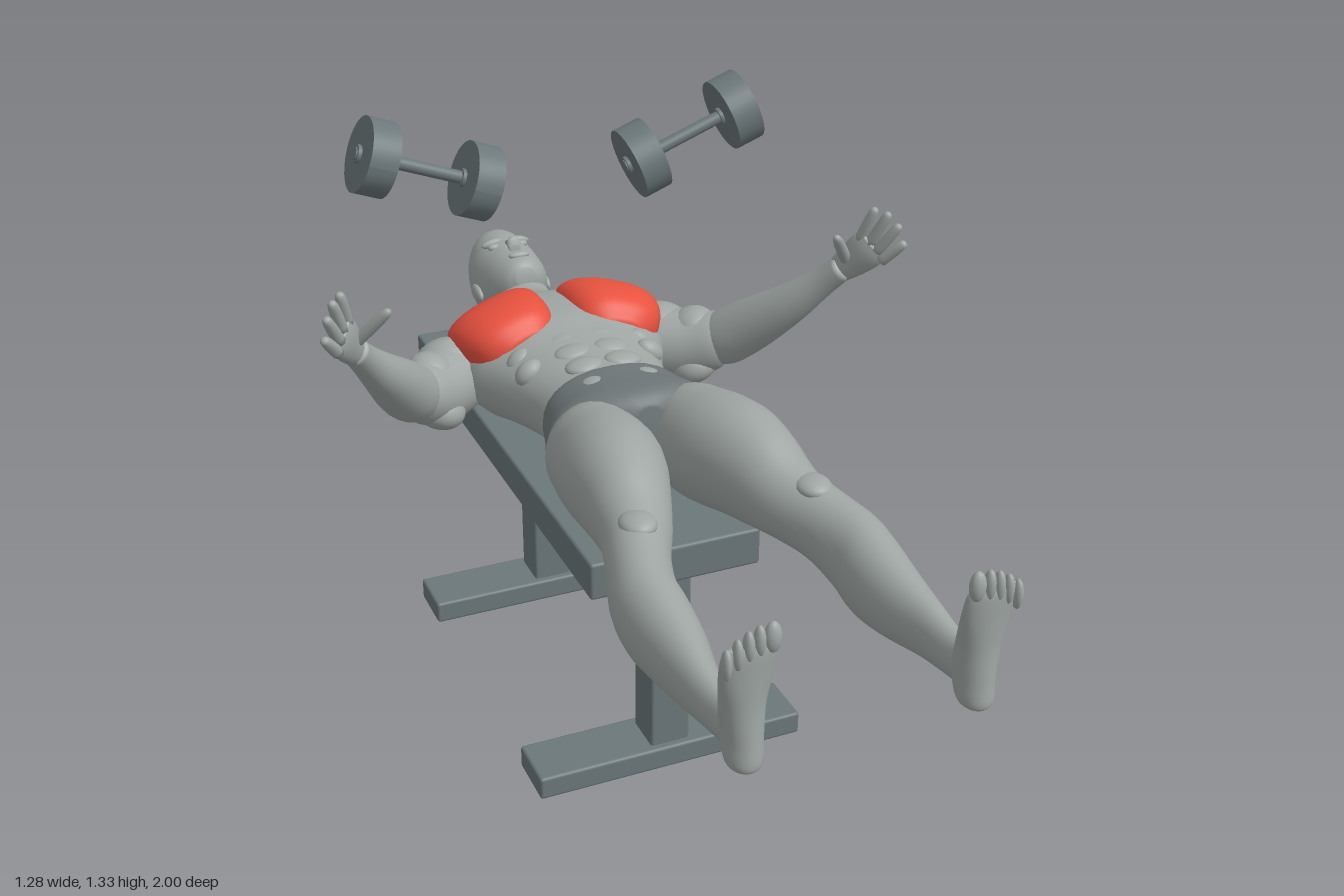
import * as THREE from 'three';
import { RoundedBoxGeometry } from 'three/addons/geometries/RoundedBoxGeometry.js';

const material = (name, color) => {
  const m = new THREE.MeshStandardMaterial({ color });
  m.name = name;
  return m;
};

// Smooth elliptical tube through rings [x, y, z, a, b]; n squares off the section
function loft(rings, up = [0, 1, 0], n = 2, seg = 28, sub = 5) {
  const centres = new THREE.CatmullRomCurve3(rings.map(r => new THREE.Vector3(r[0], r[1], r[2])), false, 'catmullrom', 0.5);
  const radii = new THREE.CatmullRomCurve3(rings.map(r => new THREE.Vector3(r[3], r[4] ?? r[3], 0)), false, 'catmullrom', 0.5);
  const W = centres.getPoint(1).sub(centres.getPoint(0)).normalize();
  const U = new THREE.Vector3(...up).cross(W).normalize();
  const V = W.clone().cross(U);
  const pos = [], idx = [], steps = (rings.length - 1) * sub;
  const bend = v => Math.sign(v) * Math.abs(v) ** (2 / n);
  for (let i = 0; i <= steps; i++) {
    const c = centres.getPoint(i / steps), r = radii.getPoint(i / steps);
    for (let j = 0; j < seg; j++) {
      const t = j / seg * Math.PI * 2;
      const p = c.clone().addScaledVector(U, r.x * bend(Math.cos(t))).addScaledVector(V, r.y * bend(Math.sin(t)));
      pos.push(p.x, p.y, p.z);
    }
  }
  for (let i = 0; i < steps; i++) for (let j = 0; j < seg; j++) {
    const a = i * seg + j, b = i * seg + (j + 1) % seg;
    idx.push(a, b, b + seg, a, b + seg, a + seg);
  }
  const first = pos.length / 3, last = steps * seg;
  for (const t of [0, 1]) pos.push(...centres.getPoint(t).toArray());
  for (let j = 0; j < seg; j++) {
    const k = (j + 1) % seg;
    idx.push(first, k, j, first + 1, last + j, last + k);
  }
  const g = new THREE.BufferGeometry();
  g.setAttribute('position', new THREE.Float32BufferAttribute(pos, 3));
  g.setIndex(idx);
  g.computeVertexNormals();
  return g;
}

// Sections along z: [z, centre x, bottom y, top y, half width]
const zLoft = (s, n) => loft(s.map(([z, x, y0, y1, w]) => [x, (y0 + y1) / 2, z, w, (y1 - y0) / 2]), [0, 1, 0], n);

const blob = (x, y, z, rx, ry, rz, turn = 0) =>
  new THREE.SphereGeometry(1, 20, 14).scale(rx, ry, rz).rotateZ(turn).translate(x, y, z);

function mirrored(g) {
  const m = g.clone().scale(-1, 1, 1), i = m.index.array;
  for (let k = 0; k < i.length; k += 3) [i[k], i[k + 1]] = [i[k + 1], i[k]];
  m.computeVertexNormals();
  return m;
}

export function createModel() {
  const model = new THREE.Group();
  const skin = material('grey skin', 0x9fa6a3);
  const steel = material('slate bench and weights', 0x6b777a);
  const cloth = material('dark grey shorts', 0x70787a);
  const red = material('highlighted red', 0xe9523f);

  const add = (name, g, m) => {
    const mesh = new THREE.Mesh(g, m);
    mesh.name = name;
    model.add(mesh);
  };
  const both = (name, g, m) => {
    add('left ' + name, g, m);
    add('right ' + name, mirrored(g), m);
  };
  const box = (name, w, h, d, x, y, z) => add(name, new RoundedBoxGeometry(w, h, d, 2, 0.007).translate(x, y, z), steel);

  // Bench
  box('bench top', 0.38, 0.085, 1.2, 0, 0.522, -0.4);
  for (const z of [0.128, -0.605]) {
    box('bench leg', 0.09, 0.45, 0.096, 0, 0.265, z);
    box('bench foot', 0.615, 0.054, 0.13, 0, 0.027, z);
  }

  // Dumbbells, tilted outward and upward
  const rod = (r, len, at) => new THREE.CylinderGeometry(r, r, len, 36)
    .translate(0, at, 0).rotateZ(-Math.PI / 2).rotateZ(0.357).translate(0.301, 1.202, -0.44);
  both('dumbbell bar', rod(0.014, 0.32, 0), steel);
  for (const at of [-0.118, 0.118]) {
    both('dumbbell weight', rod(0.081, 0.062, at), steel);
    both('dumbbell collar', rod(0.02, 0.078, at), steel);
  }

  // Head, face and neck
  add('head', zLoft([
    [-0.947, 0, 0.73, 0.785, 0.025], [-0.93, 0, 0.678, 0.83, 0.06], [-0.89, 0, 0.638, 0.852, 0.08],
    [-0.84, 0, 0.631, 0.858, 0.087], [-0.79, 0, 0.65, 0.855, 0.083], [-0.74, 0, 0.7, 0.852, 0.07],
    [-0.705, 0, 0.75, 0.847, 0.048], [-0.69, 0, 0.79, 0.832, 0.024]]), skin);
  add('nose', loft([[0, 0.845, -0.83, 0.007], [0, 0.86, -0.79, 0.011], [0, 0.865, -0.773, 0.017], [0, 0.852, -0.763, 0.012]]), skin);
  add('lips', blob(0, 0.849, -0.738, 0.026, 0.009, 0.011), skin);
  both('eye', blob(0.034, 0.842, -0.82, 0.016, 0.009, 0.009), skin);
  both('brow', blob(0.034, 0.846, -0.838, 0.027, 0.01, 0.009, -0.2), skin);
  both('ear', blob(0.086, 0.738, -0.805, 0.011, 0.02, 0.034), skin);
  add('neck', zLoft([[-0.8, 0, 0.66, 0.8, 0.06], [-0.72, 0, 0.665, 0.8, 0.066],
    [-0.66, 0, 0.65, 0.795, 0.075], [-0.6, 0, 0.62, 0.81, 0.1]]), skin);

  // Torso
  add('torso', zLoft([
    [-0.67, 0, 0.66, 0.775, 0.06], [-0.62, 0, 0.615, 0.8, 0.16], [-0.575, 0, 0.588, 0.82, 0.225],
    [-0.5, 0, 0.572, 0.832, 0.238], [-0.42, 0, 0.57, 0.832, 0.235], [-0.35, 0, 0.582, 0.822, 0.205],
    [-0.28, 0, 0.592, 0.815, 0.178], [-0.2, 0, 0.6, 0.81, 0.158], [-0.12, 0, 0.6, 0.812, 0.155]], 2.2), skin);
  both('chest muscle', loft([
    [0.135, 0.77, -0.572, 0.09, 0.03], [0.135, 0.778, -0.55, 0.116, 0.056], [0.133, 0.782, -0.5, 0.118, 0.072],
    [0.125, 0.782, -0.44, 0.108, 0.076], [0.115, 0.78, -0.395, 0.088, 0.065], [0.105, 0.775, -0.365, 0.05, 0.035]],
    [0.28, 0.96, 0], 2.5), red);
  for (const z of [-0.335, -0.27, -0.2])
    both('abdominal muscle', blob(0.045, 0.803, z, 0.042, 0.016, 0.033, -0.1), skin);
  both('lower abdominal', blob(0.062, 0.806, -0.095, 0.032, 0.016, 0.036, -0.2), skin);
  for (const z of [-0.34, -0.28])
    both('rib muscle', blob(0.142, 0.77, z, 0.035, 0.025, 0.026, -0.7), skin);

  // Shorts
  add('shorts', zLoft([
    [-0.143, 0, 0.605, 0.813, 0.156], [-0.14, 0, 0.597, 0.82, 0.163], [-0.08, 0, 0.588, 0.826, 0.178],
    [-0.01, 0, 0.59, 0.835, 0.197], [0.03, 0, 0.6, 0.835, 0.13], [0.06, 0, 0.63, 0.815, 0.04]], 2.3), cloth);

  // Legs
  both('leg', zLoft([
    [-0.07, 0.09, 0.63, 0.79, 0.07], [0.0, 0.108, 0.597, 0.825, 0.097], [0.06, 0.112, 0.597, 0.842, 0.106],
    [0.14, 0.122, 0.608, 0.86, 0.11], [0.22, 0.135, 0.625, 0.865, 0.102], [0.3, 0.148, 0.636, 0.848, 0.086],
    [0.38, 0.165, 0.645, 0.81, 0.071], [0.46, 0.195, 0.635, 0.79, 0.064], [0.54, 0.217, 0.605, 0.78, 0.065],
    [0.61, 0.219, 0.59, 0.768, 0.066], [0.7, 0.22, 0.6, 0.75, 0.056], [0.8, 0.225, 0.62, 0.733, 0.039],
    [0.88, 0.224, 0.635, 0.724, 0.031], [0.96, 0.222, 0.65, 0.735, 0.031]]), skin);
  both('kneecap', blob(0.182, 0.785, 0.425, 0.036, 0.02, 0.042), skin);

  // Feet, soles facing forward
  both('foot', loft([
    [0.22, 0.628, 0.965, 0.016, 0.018], [0.22, 0.642, 0.962, 0.032, 0.036], [0.22, 0.69, 0.952, 0.036, 0.043],
    [0.222, 0.75, 0.955, 0.04, 0.036], [0.223, 0.81, 0.967, 0.048, 0.025], [0.223, 0.86, 0.978, 0.05, 0.016],
    [0.221, 0.878, 0.983, 0.042, 0.008]], [0, 0, 1]), skin);
  for (let i = 0; i < 5; i++) {
    const r = i ? 0.0105 - i * 0.0004 : 0.015;
    both('toe', blob(0.187 + (i ? 0.004 : 0) + i * 0.019, 0.887 - i * i * 0.0021, 0.986, r, 0.029, 0.013), skin);
  }

  // Shoulders and arms
  both('shoulder', blob(0.258, 0.688, -0.495, 0.09, 0.09, 0.082), skin);
  both('upper arm', loft([
    [0.2, 0.69, -0.52, 0.075], [0.265, 0.685, -0.48, 0.085], [0.32, 0.69, -0.435, 0.08],
    [0.365, 0.71, -0.39, 0.066], [0.385, 0.725, -0.37, 0.04]]), skin);
  both('biceps', blob(0.318, 0.735, -0.435, 0.055, 0.045, 0.055, 0.4), skin);
  both('triceps', blob(0.31, 0.655, -0.41, 0.06, 0.045, 0.06, 0.4), skin);
  both('forearm', loft([
    [0.345, 0.68, -0.425, 0.035], [0.372, 0.712, -0.388, 0.063], [0.415, 0.765, -0.33, 0.062],
    [0.47, 0.84, -0.25, 0.047], [0.52, 0.908, -0.192, 0.033], [0.552, 0.955, -0.155, 0.029]]), skin);

  // Hands with spread fingers
  both('palm', loft([
    [0.54, 0.935, -0.17, 0.026, 0.022], [0.56, 0.97, -0.14, 0.037, 0.021],
    [0.578, 1.005, -0.11, 0.043, 0.018], [0.588, 1.027, -0.095, 0.037, 0.012]], [-0.76, -0.1, 0.63]), skin);
  const fingers = [
    [[0.568, 1.03, -0.118], [0.585, 1.108, -0.09]], [[0.583, 1.025, -0.1], [0.606, 1.102, -0.068]],
    [[0.593, 1.01, -0.086], [0.624, 1.078, -0.05]], [[0.6, 0.99, -0.078], [0.634, 1.04, -0.04]],
    [[0.55, 0.975, -0.142], [0.49, 1.058, -0.085]]];
  for (const [a, b] of fingers) {
    const at = (t, r) => [...a.map((v, k) => v + (b[k] - v) * t), r];
    both('finger', loft([at(0, 0.013), at(0.5, 0.0125), at(0.9, 0.01), at(1, 0.004)], [1, 0, 0.3], 2, 10, 3), skin);
  }
  return model;
}
